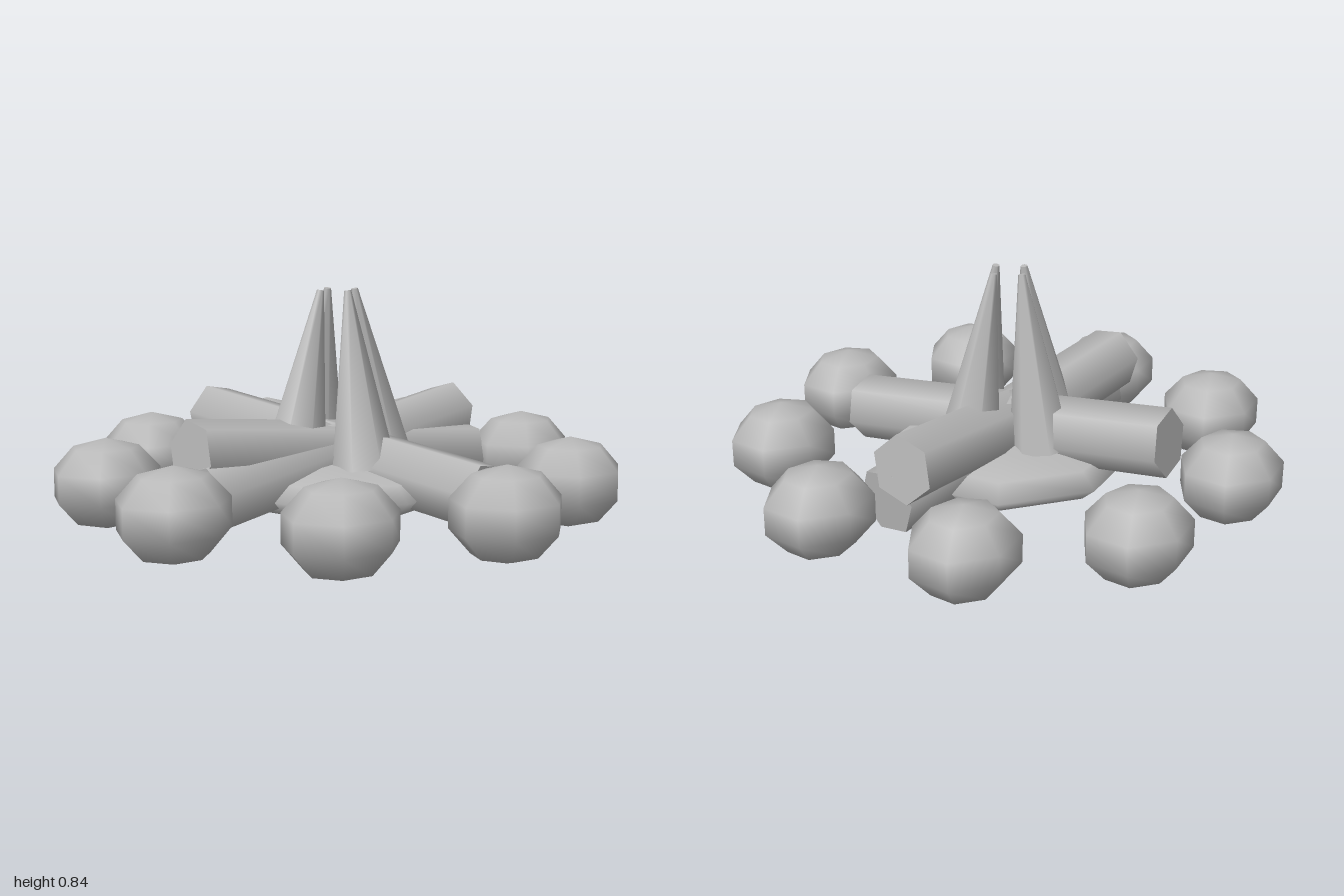
import * as THREE from 'three';

export function createModel() {
  const model = new THREE.Group();
  model.name = 'campfire';
  const stoneGrey = new THREE.MeshStandardMaterial({ color: 0xb8b8b8 });
  stoneGrey.name = 'plain grey';

  const CX = -0.025, CZ = 0.005; // centre of the fire

  function add(geometry, name) {
    const mesh = new THREE.Mesh(geometry, stoneGrey);
    mesh.name = name;
    model.add(mesh);
    return mesh;
  }

  // Cylinder laid between two points
  function rod(from, to, rTop, rBottom, sides, name) {
    const dir = to.clone().sub(from);
    const mesh = add(new THREE.CylinderGeometry(rTop, rBottom, dir.length(), sides), name);
    mesh.position.copy(from).add(to).multiplyScalar(0.5);
    mesh.quaternion.setFromUnitVectors(new THREE.Vector3(0, 1, 0), dir.normalize());
    return mesh;
  }

  // Ring of nine squashed stones, all turned the same way
  const stone = new THREE.SphereGeometry(1, 7, 5);
  stone.rotateY(-Math.PI / 2);
  stone.scale(0.205, 0.1625, 0.185);
  for (let i = 0; i < 9; i++) {
    const a = (i / 9) * Math.PI * 2;
    add(stone, 'stone').position.set(CX + 0.83 * Math.cos(a), 0.1625, 0.008 + 0.83 * Math.sin(a));
  }

  // Flattened ash mound
  const mound = new THREE.SphereGeometry(1, 8, 6);
  mound.scale(0.462, 0.105, 0.462);
  add(mound, 'ashMound').position.set(CX, 0.14, CZ);

  // Three crossing logs; each is given by its raised end
  const raisedEnds = [[0.625, -0.19], [-0.635, 0.11], [-0.207, -0.61]];
  for (const [x, z] of raisedEnds) {
    rod(
      new THREE.Vector3(CX - x, 0.17, CZ - z),
      new THREE.Vector3(CX + x, 0.315, CZ + z),
      0.122, 0.122, 6, 'log'
    );
  }

  // Four flames leaning inward
  for (let i = 0; i < 4; i++) {
    const a = (i * Math.PI) / 2;
    const at = (r, y) => new THREE.Vector3(CX + r * Math.cos(a), y, CZ + r * Math.sin(a));
    rod(at(0.183, 0.21), at(0.07, 0.833), 0.013, 0.118, 7, 'flame');
  }

  return model;
}
